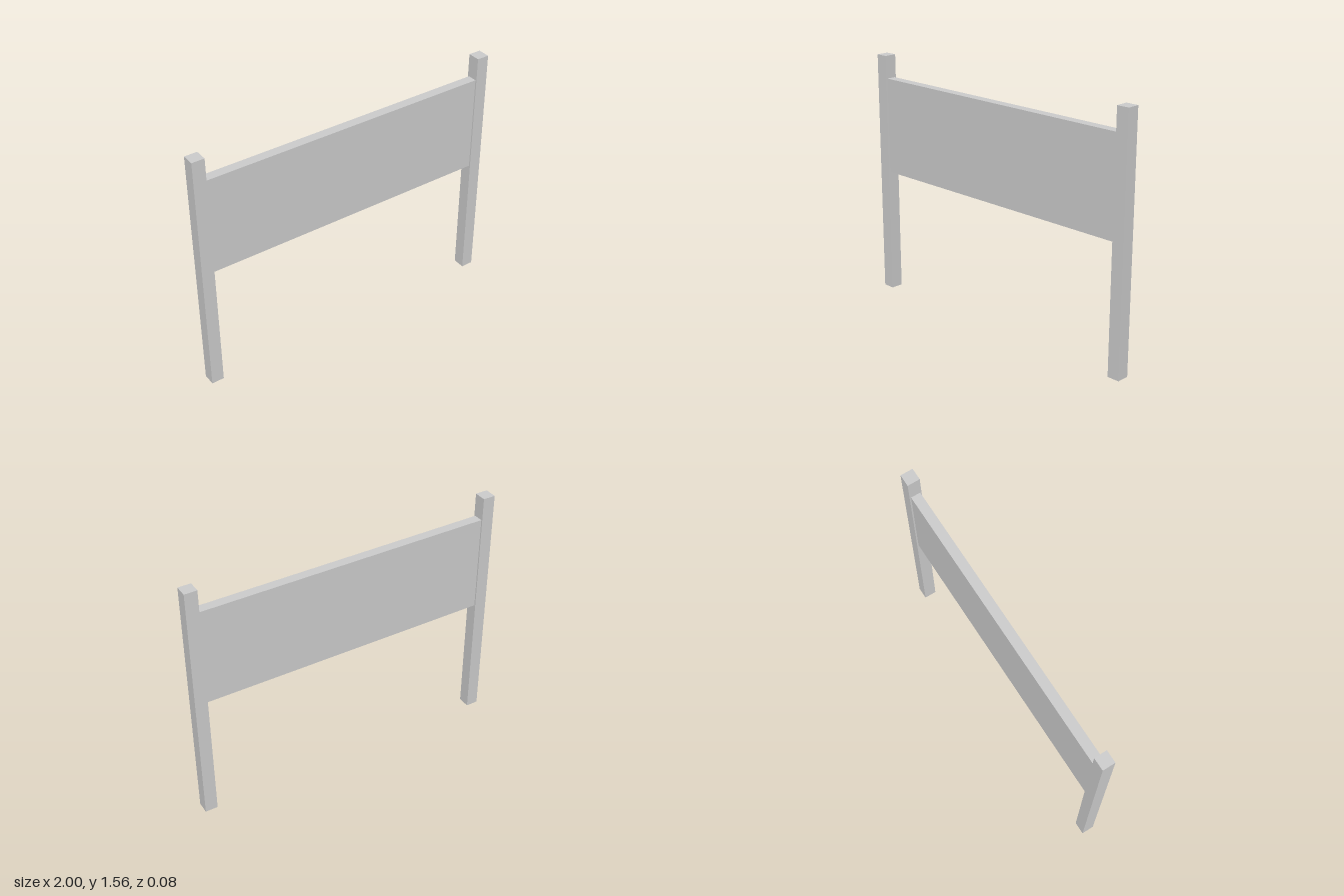
import * as THREE from 'three';

const POST = 0.078;
const HEIGHT = 1.563;
const PANEL_BOTTOM = 0.805;
const PANEL_TOP = 1.418;
const PANEL_DEPTH = 0.06;

export function createModel() {
  const group = new THREE.Group();
  group.name = 'signBoard';
  const material = new THREE.MeshStandardMaterial({ color: 0xcccccc, flatShading: true });

  function box(name, w, h, d, x, y) {
    const mesh = new THREE.Mesh(new THREE.BoxGeometry(w, h, d), material);
    mesh.name = name;
    mesh.position.set(x, y, 0);
    group.add(mesh);
  }

  // Square posts at both ends
  for (const [name, side] of [['leftPost', 1], ['rightPost', -1]]) {
    box(name, POST, HEIGHT, POST, side * (1 - POST / 2), HEIGHT / 2);
  }

  // Board spanning between the inner faces of the posts
  box('panel', 2 - 2 * POST, PANEL_TOP - PANEL_BOTTOM, PANEL_DEPTH, 0, (PANEL_TOP + PANEL_BOTTOM) / 2);

  return group;
}
